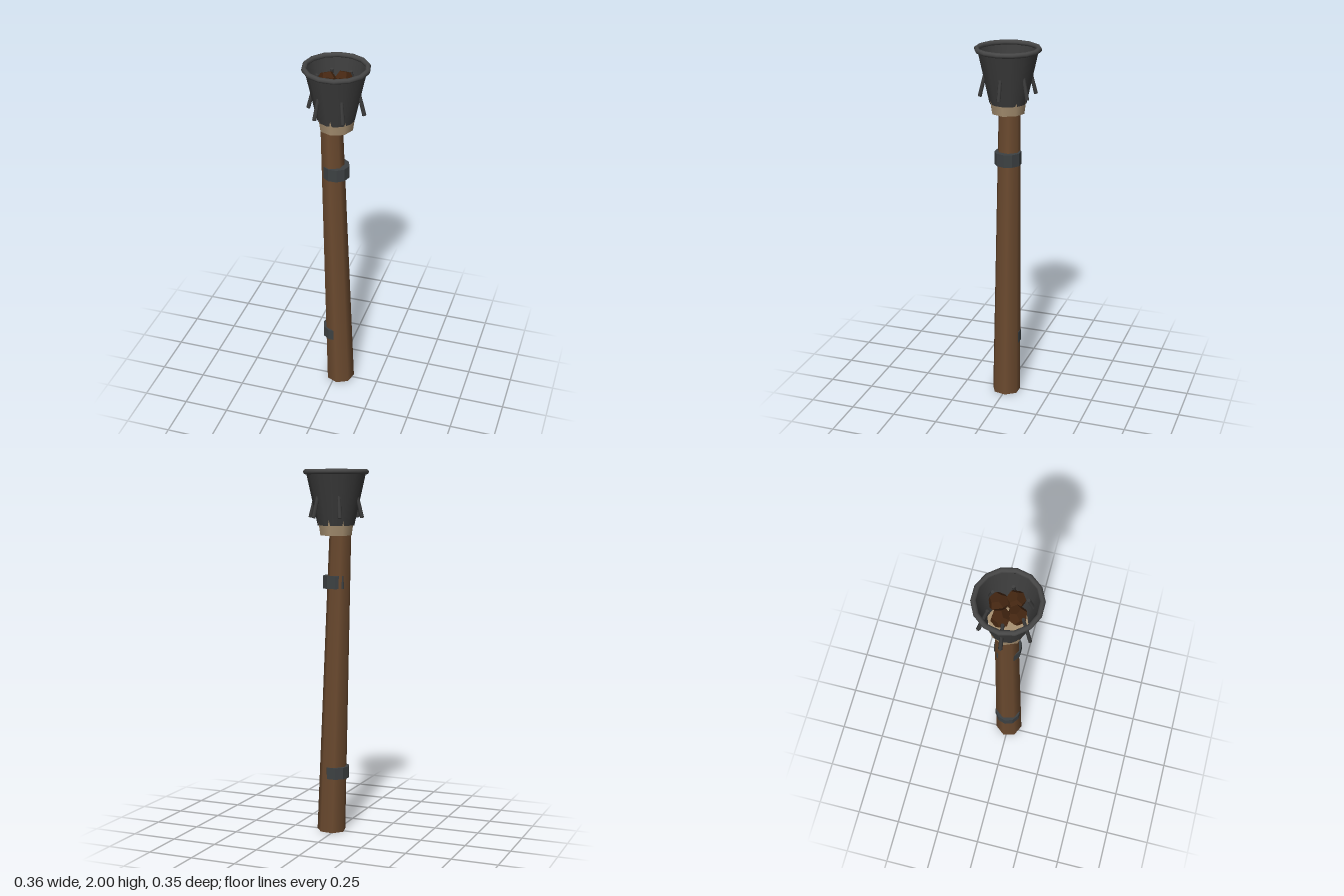
import * as THREE from 'three';

const mat = (name, color, extra = {}) => {
  const m = new THREE.MeshStandardMaterial({ color, ...extra });
  m.name = name;
  return m;
};

export function createModel() {
  const model = new THREE.Group();
  model.name = 'torch';

  const wood = mat('wood', 0x6b4a2f);
  const iron = mat('iron', 0x3c3c3c, { side: THREE.DoubleSide });
  const rimIron = mat('rim iron', 0x464646);
  const bandIron = mat('band iron', 0x3d4143, { flatShading: true });
  const wrapCloth = mat('wrap cloth', 0xa89172);
  const coalBrown = mat('coal', 0x442611, { flatShading: true });

  const add = (name, geometry, material, x = 0, y = 0, z = 0) => {
    const mesh = new THREE.Mesh(geometry, material);
    mesh.name = name;
    mesh.position.set(x, y, z);
    model.add(mesh);
    return mesh;
  };

  // Leaning, tapered shaft
  const shaft = add('shaft', new THREE.CylinderGeometry(0.06, 0.08, 1.69, 7), wood, 0, 0.848);
  shaft.rotation.z = 0.032;

  // Upright bands, partly sunk into the leaning shaft
  add('upperBand', new THREE.CylinderGeometry(0.073, 0.073, 0.07, 10), bandIron, 0, 1.395).rotation.y = Math.PI / 2;
  add('lowerBand', new THREE.CylinderGeometry(0.075, 0.075, 0.065, 10), bandIron, 0, 0.34).rotation.y = Math.PI / 2;

  // Cloth wrap under and inside the cup
  add('clothWrap', new THREE.CylinderGeometry(0.105, 0.091, 0.095, 8), wrapCloth, 0, 1.694);

  // Open flared cup and its rolled rim
  const cup = new THREE.CylinderGeometry(0.162, 0.099, 0.285, 14, 1, true);
  cup.rotateY(Math.PI / 2);
  add('cup', cup, iron, 0, 1.8425);
  const rim = new THREE.TorusGeometry(0.164, 0.014, 8, 14);
  rim.rotateX(Math.PI / 2);
  add('rim', rim, rimIron, 0, 1.986);

  // Six prongs slanting through the cup wall
  const up = new THREE.Vector3(0, 1, 0);
  for (let i = 0; i < 6; i++) {
    const a = (i * Math.PI) / 3;
    const at = (r, y) => new THREE.Vector3(r * Math.cos(a), y, r * Math.sin(a));
    const low = at(0.151, 1.742), high = at(0.102, 1.935);
    const dir = high.clone().sub(low);
    const prong = add('prong', new THREE.CylinderGeometry(0.009, 0.011, dir.length(), 6), iron);
    prong.position.copy(low).add(high).multiplyScalar(0.5);
    prong.quaternion.setFromUnitVectors(up, dir.normalize());
  }

  // Coals heaped in the cup
  const coals = [[-0.054, -0.022, 0.5], [0.022, -0.052, -0.1], [0.052, 0.025, 0.15], [-0.022, 0.052, -0.4]];
  coals.forEach(([x, z, turn]) => {
    const coal = add('coal', new THREE.DodecahedronGeometry(0.052), coalBrown, x, 1.9, z);
    coal.rotation.set(0.15, turn, 0);
  });

  return model;
}
